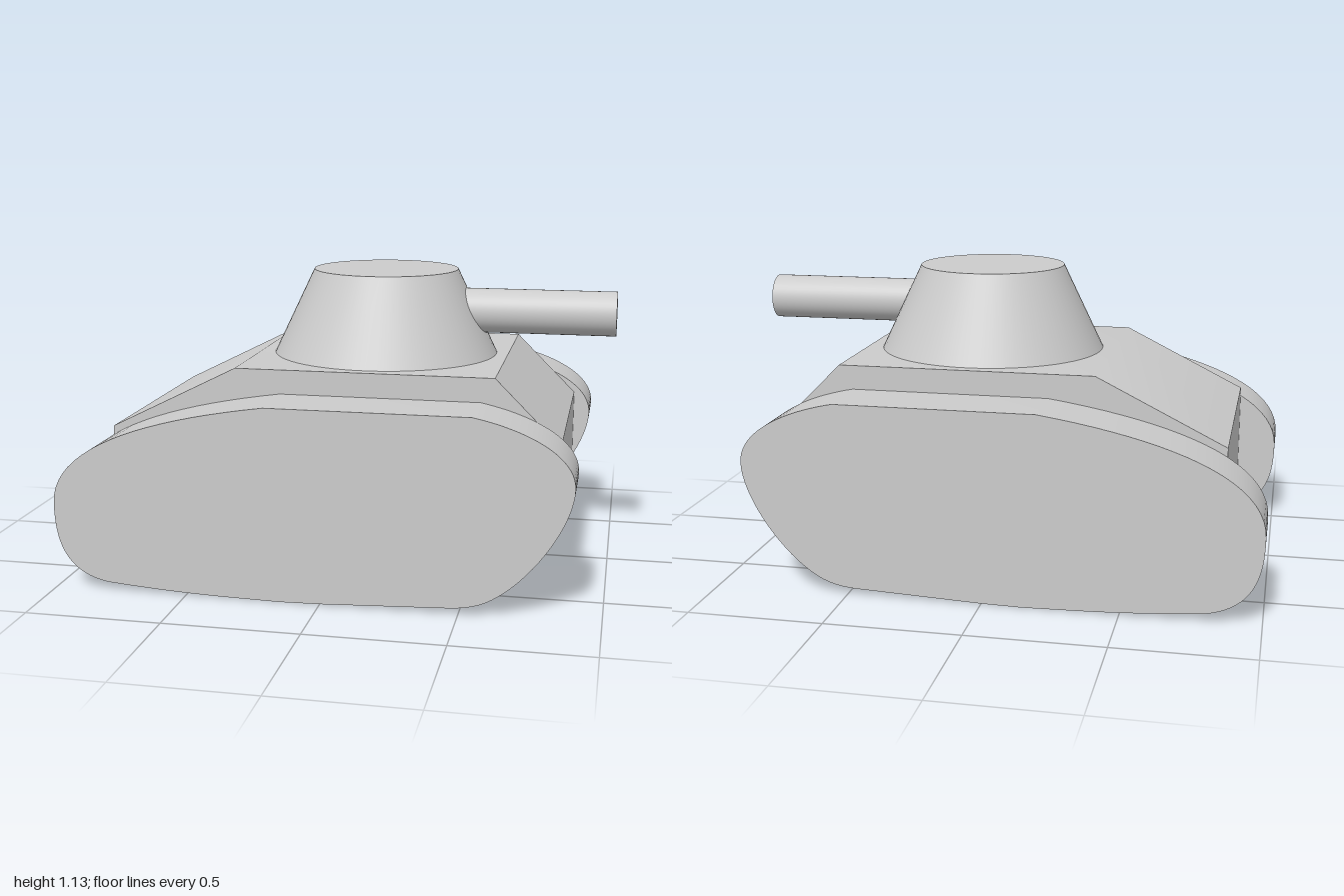
import * as THREE from 'three';
import { toCreasedNormals } from 'three/addons/utils/BufferGeometryUtils.js';

const material = new THREE.MeshStandardMaterial({ color: 0xcccccc });

function addPart(parent, name, geometry) {
  const mesh = new THREE.Mesh(toCreasedNormals(geometry, 0.5), material);
  mesh.name = name;
  parent.add(mesh);
  return mesh;
}

// Extrudes a side profile across z, centred on zCentre
function slab(shape, width, zCentre) {
  const geometry = new THREE.ExtrudeGeometry(shape, { depth: width, bevelEnabled: false, curveSegments: 20 });
  return geometry.translate(0, 0, zCentre - width / 2);
}

function trackShape() {
  const s = new THREE.Shape();
  s.moveTo(-0.8, 0.03);
  s.quadraticCurveTo(-0.55, 0.007, -0.3, 0.003);
  s.lineTo(-0.15, 0);
  s.lineTo(0, 0.003);
  s.lineTo(0.45, 0.022);
  s.quadraticCurveTo(0.51, 0.024, 0.55, 0.035);
  s.bezierCurveTo(0.7, 0.07, 0.895, 0.33, 0.895, 0.48);
  s.bezierCurveTo(0.895, 0.6, 0.72, 0.68, 0.54, 0.715);
  s.lineTo(-0.2, 0.715);
  s.bezierCurveTo(-0.66, 0.65, -1, 0.53, -1, 0.32);
  s.bezierCurveTo(-1, 0.2, -0.98, 0.06, -0.8, 0.03);
  return s;
}

export function createModel() {
  const tank = new THREE.Group();
  tank.name = 'tank';

  // Hull with sloped deck and angled nose
  const hullShape = new THREE.Shape([
    [-0.85, 0.08], [0.59, 0.08], [0.83, 0.325], [0.83, 0.565],
    [0.59, 0.805], [-0.37, 0.805], [-0.85, 0.565],
  ].map(([x, y]) => new THREE.Vector2(x, y)));
  addPart(tank, 'hull', slab(hullShape, 0.96, 0));

  // Track on each side
  for (const [name, side] of [['nearTrack', 1], ['farTrack', -1]]) {
    addPart(tank, name, slab(trackShape(), 0.24, side * 0.6));
  }

  // Tapered turret
  const turret = addPart(tank, 'turret', new THREE.CylinderGeometry(0.28, 0.435, 0.325, 64));
  turret.position.set(0.11, 0.9675, 0);

  // Gun barrel with a hollow bore, its axis turned along +x
  const barrelProfile = [[0.085, 0.2], [0.085, 1], [0.055, 1], [0.055, 0.45], [0, 0.45]]
    .map(([r, y]) => new THREE.Vector2(r, y));
  const barrel = addPart(tank, 'gunBarrel', new THREE.LatheGeometry(barrelProfile, 40));
  barrel.rotation.z = -Math.PI / 2;
  barrel.position.y = 0.975;

  return tank;
}
